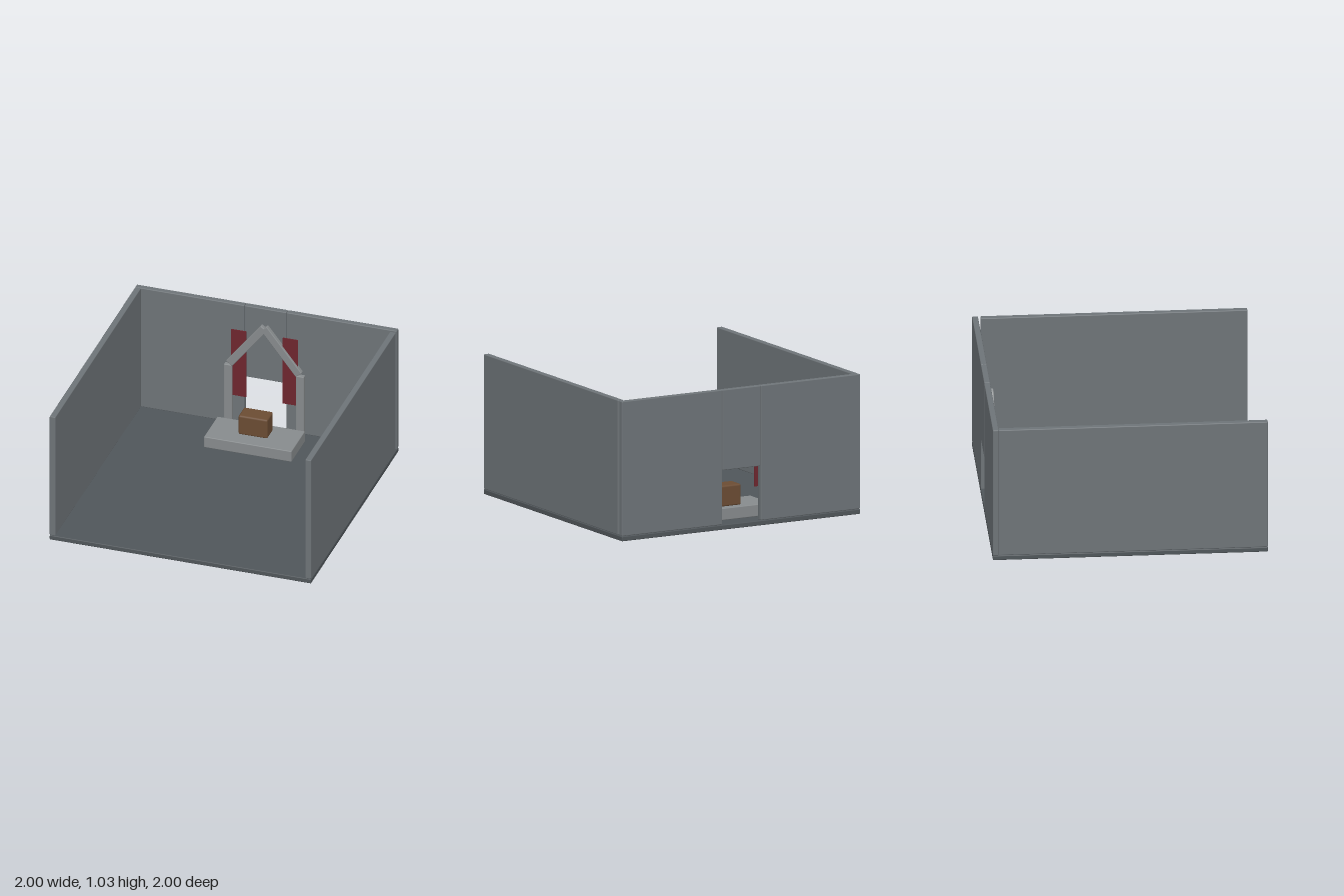
import * as THREE from 'three';
import { RoundedBoxGeometry } from 'three/addons/geometries/RoundedBoxGeometry.js';

const paint = (color) => new THREE.MeshStandardMaterial({ color });

export function createModel() {
  const model = new THREE.Group();
  const floorMat = paint(0x50565a);
  const wallMat = paint(0x6e7478);
  const stoneMat = paint(0x878b8d);
  const clothMat = paint(0x6e262e);
  const woodMat = paint(0x6b4c33);

  // Softly bevelled block spanning [min, max] on each axis
  function block(name, material, [x0, x1], [y0, y1], [z0, z1], bevel = 0.006) {
    const geometry = new RoundedBoxGeometry(x1 - x0, y1 - y0, z1 - z0, 2, bevel);
    const mesh = new THREE.Mesh(geometry, material);
    mesh.name = name;
    mesh.position.set((x0 + x1) / 2, (y0 + y1) / 2, (z0 + z1) / 2);
    model.add(mesh);
    return mesh;
  }

  // Floor slab
  block('floor', floorMat, [-1, 1], [0, 0.036], [-1, 1]);

  // Side walls; the one at +x stops short of the back wall
  const wallY = [0.038, 1.035];
  block('rightWall', wallMat, [-1, -0.955], wallY, [-0.958, 1]);
  block('leftWall', wallMat, [0.955, 1], wallY, [-0.94, 1]);

  // Back wall in two panels, with a lintel above the doorway
  const backZ = [-1, -0.957];
  block('backWallRight', wallMat, [-1, -0.165], wallY, backZ);
  block('backWallLeft', wallMat, [0.158, 1], wallY, backZ);
  block('doorLintel', wallMat, [-0.163, 0.156], [0.44, 1.035], backZ);

  // Gabled door frame and hanging banners, mirrored about the doorway
  const frameZ = [-0.957, -0.92];
  const centre = -0.004;
  for (const side of [-1, 1]) {
    const word = side < 0 ? 'right' : 'left';
    const span = (a, b) => [centre + side * a, centre + side * b].sort((p, q) => p - q);
    block(word + 'Post', stoneMat, span(0.244, 0.306), [0.038, 0.538], frameZ);

    const rafter = block(word + 'Rafter', stoneMat, [-0.217, 0.217], [-0.03, 0.03], frameZ);
    rafter.position.x = centre + side * 0.133;
    rafter.position.y = 0.718;
    rafter.rotation.z = -side * 0.907;

    const banner = new THREE.Mesh(new THREE.BoxGeometry(0.117, 0.55, 0.006), clothMat);
    banner.name = word + 'Banner';
    banner.position.set(centre + side * 0.198, 0.555, -0.94);
    model.add(banner);
  }

  // Raised stone step with a wooden chest on it
  block('stoneStep', stoneMat, [-0.338, 0.332], [0.037, 0.126], [-0.86, -0.55]);
  block('chest', woodMat, [-0.115, 0.108], [0.122, 0.28], [-0.803, -0.668], 0.014);

  return model;
}
